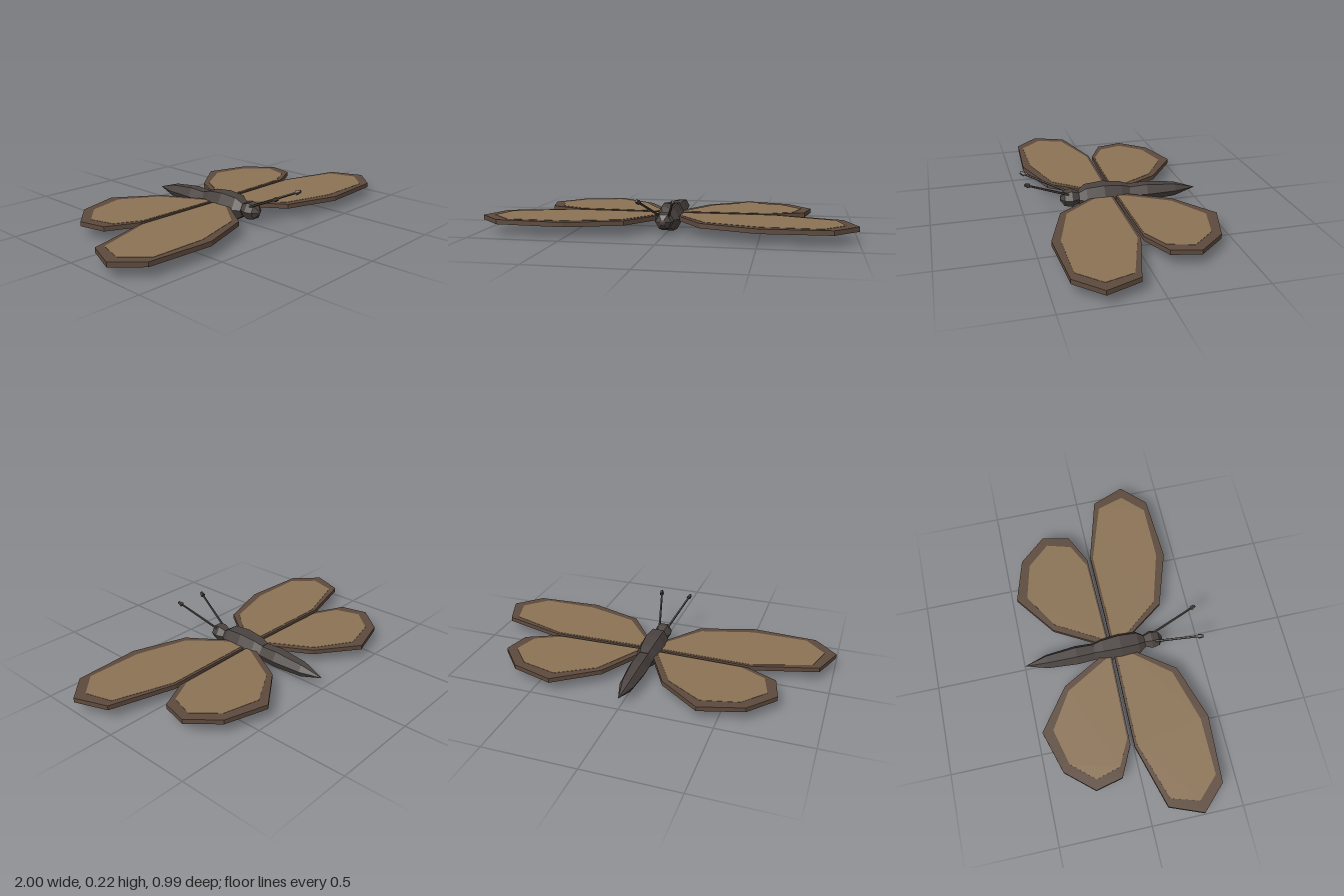
import * as THREE from 'three';

const material = (color) => new THREE.MeshStandardMaterial({ color, flatShading: true });
const bodyMat = material(0x4a4340);
const rimMat = material(0x5d4a3d);
const panelMat = material(0x8b7355);

const MID = 0.075; // height of the wing plane

function addMesh(parent, name, geometry, mat) {
  const mesh = new THREE.Mesh(geometry, mat);
  mesh.name = name;
  parent.add(mesh);
  return mesh;
}

// Six-sided body segment along z; profile lists [z, radius] from back to front
function segment(profile, widthScale = 1) {
  const points = profile.map(([z, r]) => new THREE.Vector2(r, z));
  return new THREE.LatheGeometry(points, 6, Math.PI / 6)
    .rotateX(Math.PI / 2)
    .scale(widthScale, 1, 1);
}

// Flat slab from an outline of [x, z] points, centred on the wing plane
function slab(outline, side, thickness) {
  const shape = new THREE.Shape(outline.map(([x, z]) => new THREE.Vector2(x * side, z)));
  return new THREE.ExtrudeGeometry(shape, { depth: thickness, bevelEnabled: false })
    .rotateX(Math.PI / 2)
    .translate(0, MID + thickness / 2, 0);
}

const wings = {
  foreWing: {
    rim: [[0.02, 0.005], [0.58, 0], [0.93, 0.1], [1, 0.28], [0.87, 0.41], [0.5, 0.43], [0.2, 0.33], [0.02, 0.08]],
    panel: [[0.05, 0.02], [0.57, 0.015], [0.89, 0.12], [0.935, 0.27], [0.82, 0.385], [0.51, 0.385], [0.22, 0.3], [0.05, 0.09]],
  },
  hindWing: {
    rim: [[0.02, -0.01], [0.565, -0.02], [0.73, -0.1], [0.765, -0.25], [0.635, -0.4], [0.4, -0.47], [0.17, -0.3], [0.02, -0.03]],
    panel: [[0.06, -0.02], [0.53, -0.03], [0.67, -0.1], [0.71, -0.235], [0.6, -0.36], [0.4, -0.41], [0.2, -0.285], [0.06, -0.04]],
  },
};

// Tapered rod between two points
function rod(from, to, startRadius, endRadius, sides) {
  const dir = to.clone().sub(from);
  const q = new THREE.Quaternion().setFromUnitVectors(new THREE.Vector3(0, 1, 0), dir.clone().normalize());
  const centre = from.clone().add(to).multiplyScalar(0.5);
  return new THREE.CylinderGeometry(endRadius, startRadius, dir.length(), sides)
    .applyQuaternion(q)
    .translate(centre.x, centre.y, centre.z);
}

export function createModel() {
  const model = new THREE.Group();
  model.name = 'butterfly';

  // Body
  const body = new THREE.Group();
  body.name = 'body';
  model.add(body);

  const thorax = segment([[-0.1, 0], [-0.1, 0.052], [-0.05, 0.07], [0.05, 0.082], [0.15, 0.073], [0.19, 0.042], [0.19, 0]], 0.92);
  addMesh(body, 'thorax', thorax, bodyMat).position.y = 0.074;

  // The abdomen droops slightly toward its tip
  const abdomen = segment([[-0.495, 0], [-0.37, 0.04], [-0.2, 0.055], [-0.09, 0.049], [-0.09, 0]]);
  const p = abdomen.attributes.position;
  for (let i = 0; i < p.count; i++) p.setY(i, p.getY(i) + Math.min(0, p.getZ(i) + 0.2) * 0.027);
  addMesh(body, 'abdomen', abdomen, bodyMat).position.y = 0.0735;

  const head = segment([[0.18, 0], [0.185, 0.033], [0.23, 0.052], [0.272, 0.043], [0.292, 0.014], [0.294, 0]]);
  addMesh(body, 'head', head, bodyMat).position.y = 0.078;

  for (const [side, label] of [[1, 'left'], [-1, 'right']]) {
    // Wings: dark rim with a slightly thicker inset panel showing above and below
    for (const [name, { rim, panel }] of Object.entries(wings)) {
      const wing = new THREE.Group();
      wing.name = `${label} ${name}`;
      addMesh(wing, 'wingRim', slab(rim, side, 0.025), rimMat);
      addMesh(wing, 'wingPanel', slab(panel, side, 0.028), panelMat);
      model.add(wing);
    }

    // Antenna with a clubbed tip
    const antenna = new THREE.Group();
    antenna.name = `${label} antenna`;
    const base = new THREE.Vector3(0.026 * side, 0.108, 0.25);
    const neck = new THREE.Vector3(0.085 * side, 0.209, 0.472);
    const tip = new THREE.Vector3(0.092 * side, 0.22, 0.496);
    addMesh(antenna, 'stalk', rod(base, neck, 0.007, 0.006, 5), bodyMat);
    addMesh(antenna, 'club', rod(neck, tip, 0.014, 0.008, 5), bodyMat);
    model.add(antenna);
  }
  return model;
}
